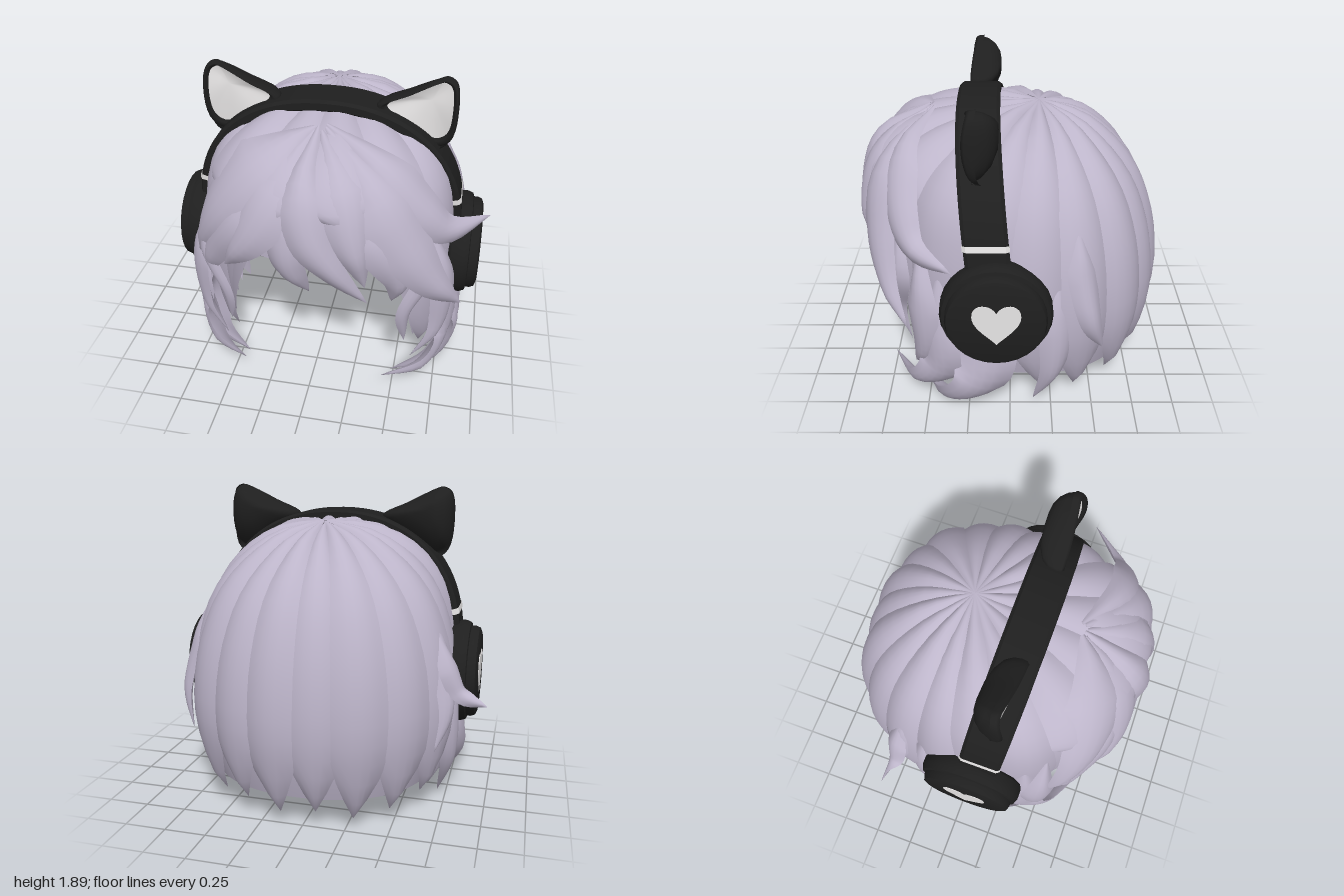
import * as THREE from 'three';
import { mergeVertices, mergeGeometries, toCreasedNormals } from 'three/addons/utils/BufferGeometryUtils.js';

const V = (x, y, z) => new THREE.Vector3(x, y, z);

const material = (name, color, side = THREE.FrontSide) => {
  const m = new THREE.MeshStandardMaterial({ color, side });
  m.name = name;
  return m;
};

function mesh(name, geometry, mat) {
  const m = new THREE.Mesh(geometry, mat);
  m.name = name;
  return m;
}

// Smooth surface from fn(u, v); faces look along dv x du
function grid(nu, nv, fn) {
  const pos = [], index = [];
  for (let i = 0; i <= nu; i++)
    for (let j = 0; j <= nv; j++) pos.push(...fn(i / nu, j / nv).toArray());
  for (let i = 0; i < nu; i++)
    for (let j = 0; j < nv; j++) {
      const a = i * (nv + 1) + j, c = a + nv + 1;
      index.push(a, a + 1, c, a + 1, c + 1, c);
    }
  let g = new THREE.BufferGeometry();
  g.setAttribute('position', new THREE.Float32BufferAttribute(pos, 3));
  g.setIndex(index);
  g = mergeVertices(g, 1e-5);
  g.computeVertexNormals();
  return g;
}

// Head surface: crown outwards; angle 0 is the back, t runs from crown to hem
const CROWN_Z = -0.17;
const profile = new THREE.CatmullRomCurve3([ // back radius, height, front radius
  [0, 1.712, 0], [0.31, 1.63, 0.62], [0.55, 1.505, 0.86], [0.76, 1.33, 0.97], [0.89, 1.126, 0.99],
  [0.97, 0.9, 0.98], [1, 0.62, 0.95], [0.95, 0.37, 0.92], [0.82, 0.07, 0.87],
].map(p => V(...p)));

function headPoint(angle, t, scale = 1) {
  const p = profile.getPoint(t), c = Math.cos(angle), s = Math.sin(angle);
  const [rz, e] = c > 0 ? [0.72, 2.2] : [1.04, 2.4];
  const reach = (Math.abs(s / 0.79) ** e + Math.abs(c / rz) ** e) ** (-1 / e);
  const front = ((1 - c) / 2) ** 2;
  const r = THREE.MathUtils.lerp(p.x, p.z, front) * reach * scale;
  return V(s * r, p.y - (1 - scale) * 0.6, CROWN_Z - c * r);
}

// Tapered lock, domed outside and hollow inside, wrapped round the head along points
const HEAD = V(0, 0.9, 0);
const tuft = s => Math.min(1, 0.06 + 2.8 * s) * (1 - s ** 2.8);
function lockGeometry(points, thick, width) {
  const curve = new THREE.CatmullRomCurve3(points);
  const face = (k, n) => grid(18, n, (s, v) => {
    const p = curve.getPoint(s), t = curve.getTangent(s);
    const out = p.clone().sub(HEAD);
    out.addScaledVector(t, -out.dot(t)).normalize();
    const across = t.clone().cross(out);
    const w = width(s, p), a = k > 0 ? v * 2 - 1 : 1 - v * 2;
    const h = k * (1 - a * a) * Math.min(thick, w * 0.6) - a * a * w * w * 0.6;
    return p.addScaledVector(across, a * w).addScaledVector(out, h);
  });
  return mergeGeometries([face(1, 6), face(-0.25, 4)]);
}

export function createModel() {
  const hairMat = material('lilac hair', 0xbdb5ca, THREE.DoubleSide);
  const black = material('black plastic', 0x1f1f1f);
  const white = material('pale grey', 0xeeecec, THREE.DoubleSide);

  const model = new THREE.Group();
  model.name = 'catEarHeadphoneWig';
  const hair = new THREE.Group();
  hair.name = 'hair';
  const phones = new THREE.Group();
  phones.name = 'headphones';
  model.add(hair, phones);

  // Under-layer: long at back and sides, short above the face
  hair.add(mesh('hairCap', grid(24, 72, (u, v) => {
    const angle = (v * 2 - 1) * Math.PI;
    const short = THREE.MathUtils.smoothstep(Math.abs(angle), 2.3, 2.75);
    return headPoint(angle, u * THREE.MathUtils.lerp(0.935, 0.55, short), 0.965);
  }), hairMat));

  // Locks falling from the crown: long round the back and sides, short under the fringe
  const COUNT = 18;
  for (let i = 0; i < COUNT; i++) {
    const angle = -Math.PI + (i + 0.5) * 2 * Math.PI / COUNT;
    const end = Math.abs(angle) > 2.4 ? 0.4 : 0.97 + 0.03 * ((i * 7) % 5) / 4;
    const pts = [];
    for (let k = 0; k <= 12; k++) pts.push(headPoint(angle, end * k / 12, 0.995 + 0.015 * (i % 2)));
    const width = (s, p) => 0.215 * Math.hypot(p.x, p.z - CROWN_Z)
      * (s < 0.82 ? 1 : 1 - ((s - 0.82) / 0.18) ** 1.7);
    hair.add(mesh('crownLock', lockGeometry(pts, 0.035, width), hairMat));
  }

  const addLock = (name, pts, w, thick = 0.045) => hair.add(mesh(name,
    lockGeometry(pts.map(p => V(...p)), thick, s => w * tuft(s)), hairMat));

  // Fringe fanning out from the front parting
  addLock('fringeRightUnder', [[-0.05, 1.6, 0.58], [-0.38, 1.25, 0.76], [-0.58, 0.95, 0.67], [-0.66, 0.7, 0.58]], 0.15);
  addLock('fringeRightSweep', [[-0.02, 1.68, 0.46], [-0.3, 1.51, 0.66], [-0.54, 1.22, 0.68], [-0.73, 0.81, 0.54]], 0.23);
  addLock('fringeRightInner', [[-0.02, 1.67, 0.48], [-0.19, 1.42, 0.76], [-0.32, 1.18, 0.82], [-0.5, 0.9, 0.75]], 0.2);
  addLock('fringeMiddleUnder', [[-0.1, 1.4, 0.8], [-0.11, 1.05, 0.84], [-0.01, 0.77, 0.74]], 0.12);
  addLock('fringeLeftUnder', [[0.1, 1.6, 0.58], [0.37, 1.22, 0.78], [0.5, 0.95, 0.74], [0.46, 0.74, 0.7]], 0.15);
  addLock('fringeLeftInner', [[0.02, 1.67, 0.48], [0.18, 1.46, 0.76], [0.25, 1.2, 0.84], [0.32, 0.9, 0.81]], 0.15);
  addLock('fringeLeftSweep', [[0.04, 1.68, 0.46], [0.36, 1.44, 0.71], [0.54, 1.14, 0.74], [0.68, 0.9, 0.69], [0.85, 0.68, 0.57]], 0.18);
  addLock('fringeLeftFlick', [[0.04, 1.69, 0.44], [0.38, 1.53, 0.6], [0.6, 1.3, 0.6], [0.74, 1.15, 0.52], [0.97, 1.13, 0.3]], 0.15);
  addLock('fringeMiddle', [[0, 1.69, 0.47], [-0.03, 1.46, 0.79], [0.02, 1.22, 0.87], [0.14, 1.02, 0.85], [0.33, 0.75, 0.76]], 0.14);

  // Flick standing out behind the right ear cup
  addLock('rightFlick', [[-0.68, 1.2, -0.38], [-0.79, 0.92, -0.42], [-0.86, 0.78, -0.42], [-1.02, 0.73, -0.46]], 0.09);

  // Paired side strands, curling forward at the ends
  for (const m of [1, -1]) {
    const pair = (name, pts, w) => addLock(name, pts.map(([x, y, z]) => [x * m, y, z]), w);
    pair('templeStrand', [[0.56, 1.28, 0.62], [0.64, 0.92, 0.62], [0.53, 0.62, 0.65], [0.54, 0.36, 0.6]], 0.08);
    pair('cheekStrand', [[0.64, 1.15, 0.5], [0.74, 0.75, 0.5], [0.71, 0.42, 0.5], [0.58, 0.22, 0.58]], 0.12);
    pair('cheekCurl', [[0.69, 1.05, 0.38], [0.75, 0.62, 0.42], [0.75, 0.32, 0.42], [0.65, 0.17, 0.55], [0.42, 0.17, 0.73]], 0.15);
    pair('jawCurl', [[0.7, 0.95, 0.12], [0.78, 0.55, 0.13], [0.81, 0.25, 0.18], [0.72, 0.09, 0.35], [0.46, 0.03, 0.53]], 0.19);
    pair('napeStrand', [[0.65, 1.28, -0.36], [0.74, 0.98, -0.4], [0.79, 0.68, -0.46], [0.74, 0.46, -0.54]], 0.1);
    pair('behindEarStrand', [[0.7, 1.05, -0.24], [0.79, 0.65, -0.27], [0.79, 0.35, -0.25], [0.72, 0.04, -0.14]], 0.12);
  }

  // Headband: a bevelled strap swept over a slightly squared arch
  const section = [[0.105, 0], [-0.105, 0], [-0.125, -0.015], [-0.125, -0.055],
    [-0.105, -0.07], [0.105, -0.07], [0.125, -0.055], [0.125, -0.015]];
  const strap = (from, to, segments, grow) => toCreasedNormals(grid(segments, 8, (u, v) => {
    const a = from + (to - from) * u, c = Math.cos(a), s = Math.sin(a);
    const x = 0.81 * Math.sign(c) * Math.abs(c) ** 0.909, y = 0.81 * Math.abs(s) ** 0.909;
    const [w, d] = section[Math.round(v * 8) % 8], k = 1 + (d + grow) / Math.hypot(x, y);
    return V(x * k, 0.95 + y * k, 0.11 + y * 0.09 + w * (1 + grow * 6));
  }), 0.6);
  phones.add(mesh('headband', strap(0, Math.PI, 48, 0), black));
  phones.add(mesh('leftStripe', strap(0.215, 0.258, 2, 0.006), white));
  phones.add(mesh('rightStripe', strap(Math.PI - 0.258, Math.PI - 0.215, 2, 0.006), white));

  // Ear cup profile, from the pad out to the cover
  const cup = toCreasedNormals(new THREE.LatheGeometry([
    [0, 0.745], [0.29, 0.745], [0.31, 0.755], [0.318, 0.77], [0.318, 0.84], [0.305, 0.87], [0.285, 0.875],
    [0.285, 0.9], [0.275, 0.925], [0.25, 0.935], [0, 0.935],
  ].map(p => new THREE.Vector2(...p)), 28), 0.7);

  const heartShape = new THREE.Shape();
  heartShape.moveTo(0, -0.13);
  heartShape.bezierCurveTo(0.04, -0.08, 0.135, -0.02, 0.135, 0.06);
  heartShape.bezierCurveTo(0.135, 0.15, 0.03, 0.15, 0, 0.08);
  heartShape.bezierCurveTo(-0.03, 0.15, -0.135, 0.15, -0.135, 0.06);
  heartShape.bezierCurveTo(-0.135, -0.02, -0.04, -0.08, 0, -0.13);
  const heart = new THREE.ExtrudeGeometry(heartShape, { depth: 0.008, bevelEnabled: false, curveSegments: 10 });

  // Cat ear: outline rings scaled about the middle, dished front and domed back
  const outline = new THREE.CatmullRomCurve3([
    [0.66, 1.905], [0.71, 1.875], [0.73, 1.73], [0.7, 1.52], [0.62, 1.47],
    [0.42, 1.6], [0.27, 1.715], [0.44, 1.807], [0.62, 1.895],
  ].map(([x, y]) => V(x, y, 0)), true);
  const ear = (rings, side) => grid(rings.length - 1, 45, (u, v) => {
    const [k, z] = rings[Math.round(u * (rings.length - 1))];
    const p = outline.getPoint((side > 0 ? v : 1 - v) % 1);
    const y = 1.77 + (p.y - 1.77) * k;
    const lean = Math.sign(z - 0.17) * (y - 1.72) ** 2; // thinner towards tip and root
    return V(side * (0.58 + (p.x - 0.58) * k), y, z - lean);
  });
  const shell = [[0, 0.19], [0.4, 0.193], [0.78, 0.215], [0.84, 0.238], [0.92, 0.25], [0.98, 0.235], [1, 0.205],
    [0.97, 0.16], [0.86, 0.115], [0.65, 0.08], [0.35, 0.06], [0, 0.055]];
  const lining = [[0, 0.196], [0.4, 0.199], [0.79, 0.222]];

  for (const side of [1, -1]) {
    const label = side > 0 ? 'left' : 'right';
    const cupMesh = mesh(label + 'EarCup', cup, black);
    cupMesh.rotation.z = -side * Math.PI / 2;
    cupMesh.position.set(0, 0.773, 0.076);
    const heartMesh = mesh(label + 'Heart', heart, white);
    heartMesh.rotation.y = side * Math.PI / 2;
    heartMesh.position.set(side * 0.931, 0.77, 0.073);
    phones.add(cupMesh, heartMesh,
      mesh(label + 'CatEar', ear(shell, side), black),
      mesh(label + 'InnerEar', ear(lining, side), white));
  }

  // Stand on the ground
  model.position.set(0.02, -new THREE.Box3().setFromObject(model).min.y, 0);
  return model;
}
